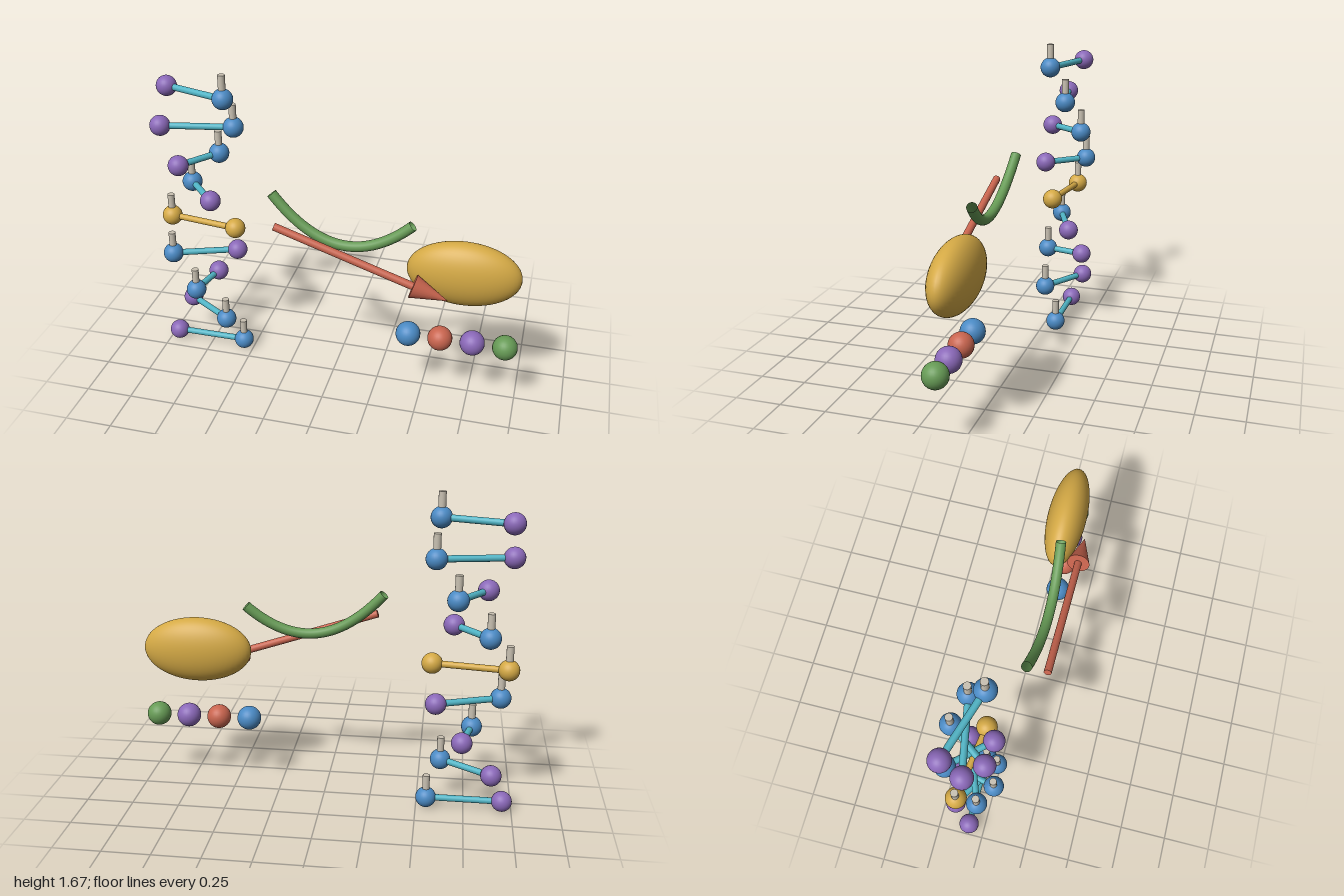
import * as THREE from 'three';

const paint = (name, color) => {
  const m = new THREE.MeshStandardMaterial({ color });
  m.name = name;
  return m;
};

export function createModel() {
  const blue = paint('blue', 0x4a8ac4);
  const purple = paint('purple', 0x8a68b8);
  const gold = paint('gold', 0xd4a945);
  const red = paint('red', 0xc8644e);
  const green = paint('green', 0x669a55);
  const teal = paint('teal', 0x4fb3c4);
  const stone = paint('stone', 0xc9c1b2);
  green.side = THREE.DoubleSide; // the curved tube has open ends

  const model = new THREE.Group();
  model.name = 'helixAndShapes';

  const add = (parent, name, geometry, material, position) => {
    const mesh = new THREE.Mesh(geometry, material);
    mesh.name = name;
    if (position) mesh.position.copy(position);
    parent.add(mesh);
    return mesh;
  };

  // Places a cylinder or cone between two points
  const span = (parent, name, from, to, rStart, rEnd, material) => {
    const dir = to.clone().sub(from);
    const mid = from.clone().add(to).multiplyScalar(0.5);
    const mesh = add(parent, name, new THREE.CylinderGeometry(rEnd, rStart, dir.length(), 24), material, mid);
    mesh.quaternion.setFromUnitVectors(new THREE.Vector3(0, 1, 0), dir.normalize());
    return mesh;
  };

  // Twisted ladder: nine rungs turning about a vertical axis, flattened in z
  const helix = new THREE.Group();
  helix.name = 'helix';
  model.add(helix);
  const bead = new THREE.SphereGeometry(0.054, 28, 18);
  const post = new THREE.CylinderGeometry(0.019, 0.019, 0.127, 20);
  for (let i = 0; i < 9; i++) {
    const rung = new THREE.Group();
    rung.name = `rung${i + 1}`;
    helix.add(rung);
    const angle = i * 0.85;
    const y = 0.057 + i * 0.186;
    const dx = 0.198 * Math.cos(angle);
    const dz = 0.11 * Math.sin(angle);
    const a = new THREE.Vector3(-0.75 + dx, y, -0.085 + dz);
    const b = new THREE.Vector3(-0.75 - dx, y, -0.085 - dz);
    const marked = i === 4; // the middle rung is all gold
    add(rung, 'postBead', bead, marked ? gold : blue, a);
    add(rung, 'plainBead', bead, marked ? gold : purple, b);
    span(rung, 'bar', a, b, 0.017, 0.017, marked ? gold : teal);
    add(rung, 'post', post, stone, a.clone().setY(y + 0.0635));
  }

  // Large ellipsoid
  const blob = add(model, 'ellipsoid', new THREE.SphereGeometry(1, 48, 32), gold, new THREE.Vector3(0.69, 0.778, 0.062));
  blob.scale.set(0.29, 0.175, 0.106);

  // Curved strand
  const path = new THREE.QuadraticBezierCurve3(
    new THREE.Vector3(-0.3, 1.112, 0.082),
    new THREE.Vector3(0.06, 0.69, 0.13),
    new THREE.Vector3(0.425, 1.023, 0.082)
  );
  add(model, 'strand', new THREE.TubeGeometry(path, 40, 0.027, 20, false), green);

  // Arrow
  const arrow = new THREE.Group();
  arrow.name = 'arrow';
  model.add(arrow);
  const tail = new THREE.Vector3(-0.262, 0.978, 0.18);
  const tip = new THREE.Vector3(0.633, 0.679, 0.18);
  const neck = tail.clone().lerp(tip, 0.8);
  span(arrow, 'arrowShaft', tail, neck, 0.02, 0.02, red);
  span(arrow, 'arrowHead', neck, tip, 0.062, 0, red);

  // Row of four balls
  const ball = new THREE.SphereGeometry(0.065, 28, 18);
  [blue, red, purple, green].forEach((material, i) => {
    add(model, `${material.name}Ball`, ball, material, new THREE.Vector3(0.425 + i * 0.1683, 0.383, 0.086));
  });

  return model;
}
